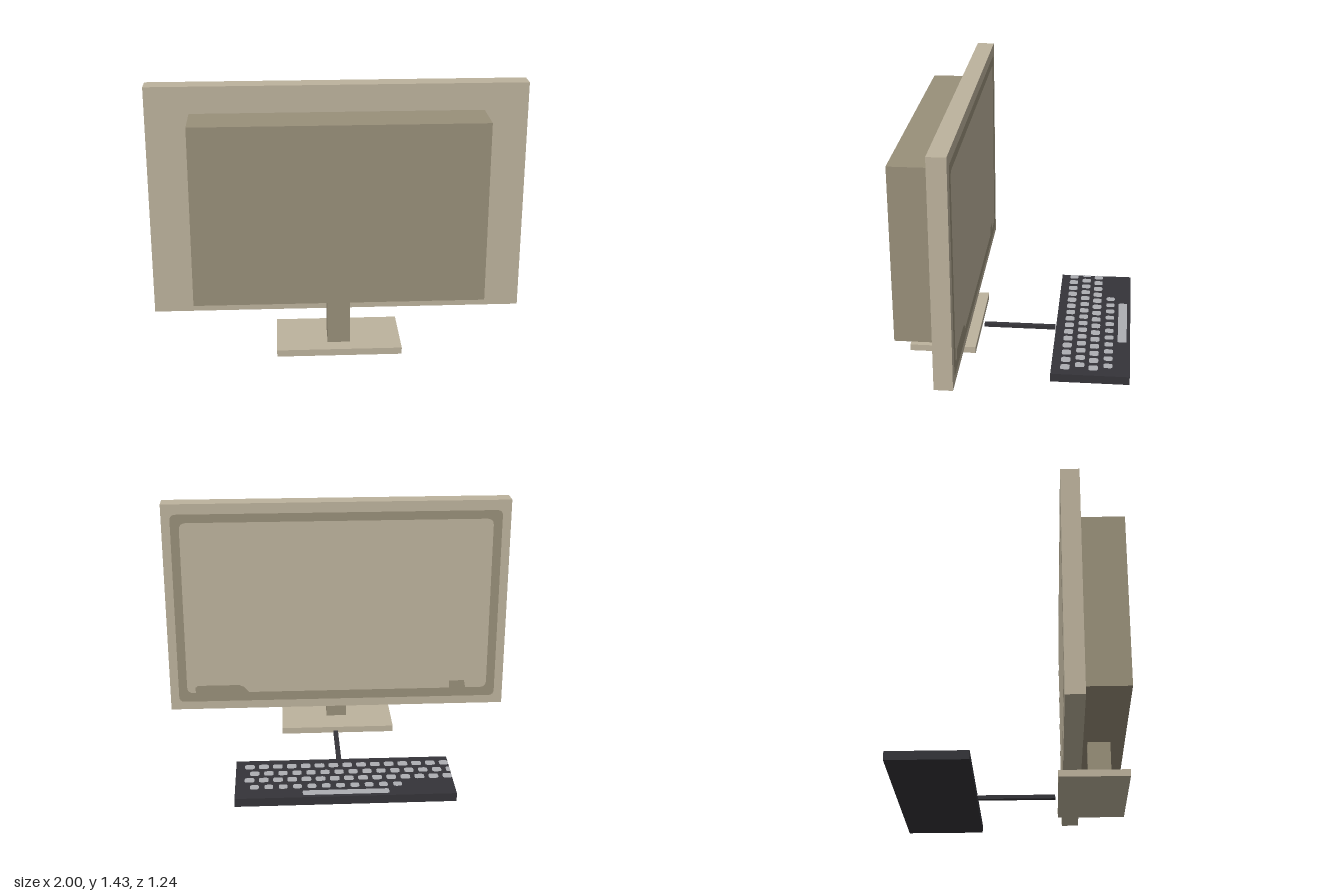
import * as THREE from 'three';

const material = (name, color) => {
  const m = new THREE.MeshStandardMaterial({ color });
  m.name = name;
  return m;
};

// Rounded rectangle outline
function roundedRect(x0, y0, x1, y1, r, target = new THREE.Shape()) {
  target.moveTo(x0 + r, y0);
  target.lineTo(x1 - r, y0);
  target.quadraticCurveTo(x1, y0, x1, y0 + r);
  target.lineTo(x1, y1 - r);
  target.quadraticCurveTo(x1, y1, x1 - r, y1);
  target.lineTo(x0 + r, y1);
  target.quadraticCurveTo(x0, y1, x0, y1 - r);
  target.lineTo(x0, y0 + r);
  target.quadraticCurveTo(x0, y0, x0 + r, y0);
  return target;
}

export function createModel() {
  const casing = material('beige casing', 0xbdb39d);
  const housing = material('dark beige', 0x99907a);
  const charcoal = material('charcoal', 0x353439);
  const keyGrey = material('key grey', 0xadaeb3);

  const model = new THREE.Group();
  model.name = 'desktopComputer';

  // Box given by its lower and upper corners
  function box(name, mat, [x0, y0, z0], [x1, y1, z1], parent = model) {
    const mesh = new THREE.Mesh(new THREE.BoxGeometry(x1 - x0, y1 - y0, z1 - z0), mat);
    mesh.position.set((x0 + x1) / 2, (y0 + y1) / 2, (z0 + z1) / 2);
    mesh.name = name;
    parent.add(mesh);
  }

  // Monitor and stand
  const monitor = new THREE.Group();
  monitor.name = 'monitor';
  model.add(monitor);
  box('screenPanel', casing, [-1, 0.165, 0.28], [1, 1.435, 0.38], monitor);
  box('rearHousing', housing, [-0.77, 0.31, 0.38], [0.77, 1.29, 0.62], monitor);
  box('standNeck', housing, [-0.06, 0.035, 0.415], [0.06, 0.3, 0.54], monitor);
  box('standBase', casing, [-0.335, 0, 0.25], [0.335, 0.037, 0.623], monitor);

  // Screen border, with two raised tabs along its lower edge
  const border = roundedRect(-0.95, 0.215, 0.95, 1.375, 0.035);
  const inner = new THREE.Path();
  const lower = 0.27, raised = 0.317, r = 0.04;
  inner.moveTo(-0.9, lower + r);
  inner.quadraticCurveTo(-0.9, lower, -0.9 + r, lower);
  for (const [x, y] of [
    [-0.85, lower], [-0.85, 0.305], [-0.835, raised], [-0.59, raised], [-0.56, 0.305], [-0.53, lower],
    [0.675, lower], [0.675, raised], [0.765, raised], [0.775, lower], [0.9 - r, lower],
  ]) inner.lineTo(x, y);
  inner.quadraticCurveTo(0.9, lower, 0.9, lower + r);
  inner.lineTo(0.9, 1.325 - r);
  inner.quadraticCurveTo(0.9, 1.325, 0.9 - r, 1.325);
  inner.lineTo(-0.9 + r, 1.325);
  inner.quadraticCurveTo(-0.9, 1.325, -0.9, 1.325 - r);
  inner.closePath();
  border.holes.push(inner);
  const screenBorder = new THREE.Mesh(new THREE.ShapeGeometry(border, 6), housing);
  screenBorder.name = 'screenBorder';
  screenBorder.rotation.y = Math.PI;
  screenBorder.position.z = 0.278;
  monitor.add(screenBorder);

  // Keyboard and its cable
  const keyboard = new THREE.Group();
  keyboard.name = 'keyboard';
  model.add(keyboard);
  box('keyboardBody', charcoal, [-0.6, 0, -0.62], [0.6, 0.048, -0.19], keyboard);
  box('cable', charcoal, [0, 0, -0.183], [0.027, 0.021, 0.235], keyboard);

  // Key rows: z centre, last key x, key count, key width, key depth
  const step = 0.0785;
  const shapes = [roundedRect(-0.237, 0.549, 0.233, 0.6, 0.012)];
  for (const [z, lastX, count, w, d] of [
    [-0.5, 0.495, 11, 0.048, 0.05],
    [-0.42, 0.523, 15, 0.054, 0.052],
    [-0.345, 0.495, 15, 0.052, 0.052],
    [-0.266, 0.523, 15, 0.055, 0.052],
  ]) {
    for (let i = 0; i < count; i++) {
      const x = lastX - i * step;
      const left = Math.max(x - w / 2, -0.6);
      const right = x + w / 2;
      shapes.push(roundedRect(left, -z - d / 2, right, -z + d / 2, Math.min(0.015, (right - left) / 3)));
    }
  }
  const keys = new THREE.Mesh(new THREE.ShapeGeometry(shapes, 3), keyGrey);
  keys.name = 'keys';
  keys.rotation.x = -Math.PI / 2;
  keys.position.y = 0.05;
  keyboard.add(keys);

  return model;
}
